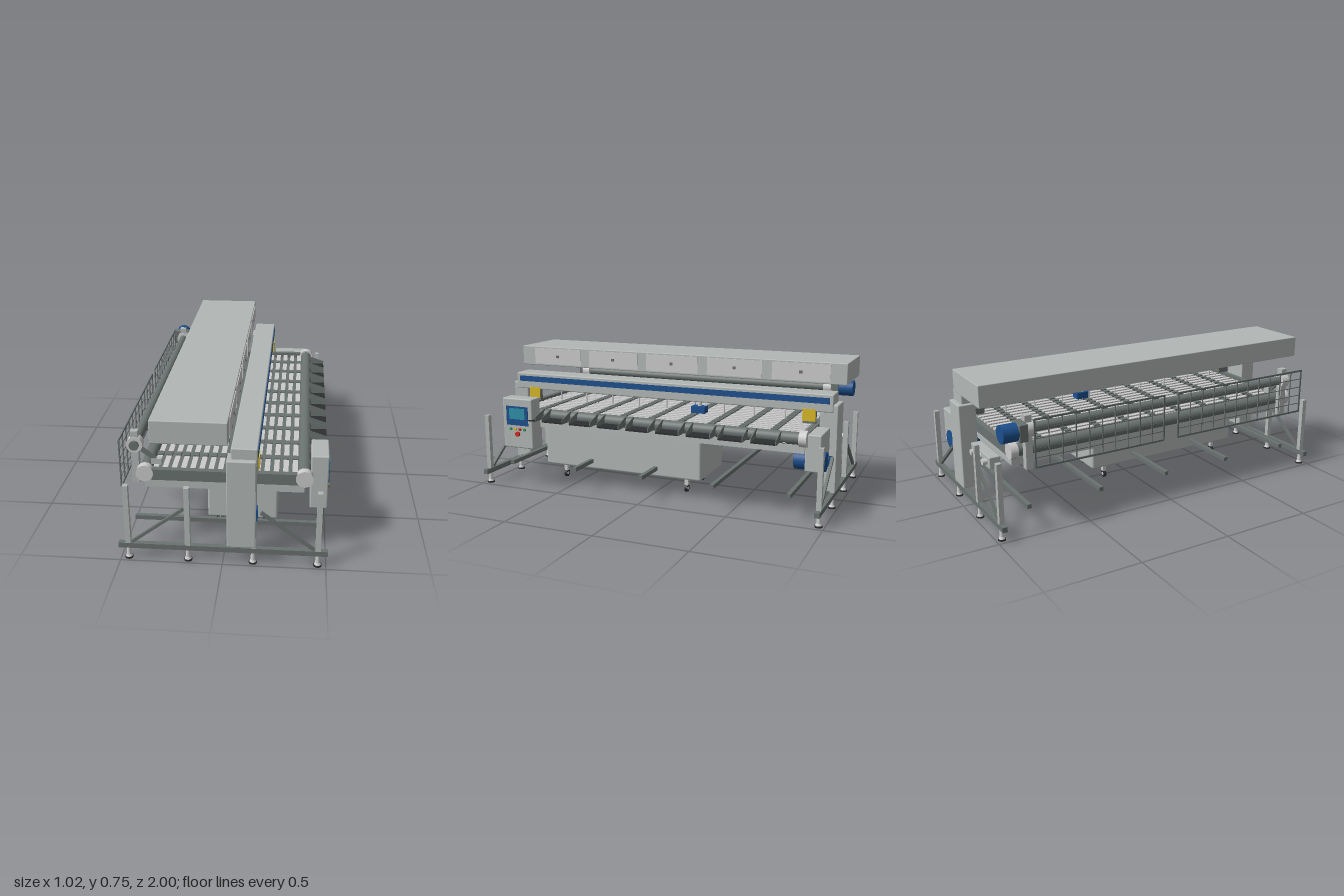
import * as THREE from 'three';
import { RoundedBoxGeometry } from 'three/addons/geometries/RoundedBoxGeometry.js';

const mat = (color) => new THREE.MeshStandardMaterial({ color });
const M = {
  body: mat(0xb2b8b6), panel: mat(0xcccccc), dark: mat(0x6a7270), black: mat(0x2c2e2f),
  blue: mat(0x1c4f8c), cyan: mat(0x2f8fa8), yellow: mat(0xd8b928), red: mat(0xd02a20), green: mat(0x2a9a5a),
};

export function createModel() {
  const root = new THREE.Group();
  root.name = 'sortingConveyor';

  const add = (name, geo, m, x, y, z, parent = root) => {
    const mesh = new THREE.Mesh(geo, m);
    mesh.name = name;
    mesh.position.set(x, y, z);
    parent.add(mesh);
    return mesh;
  };
  // Box given by its limits; r rounds the edges
  const box = (name, m, [x0, x1], [y0, y1], [z0, z1], r = 0) => {
    const s = [x1 - x0, y1 - y0, z1 - z0];
    const geo = r ? new RoundedBoxGeometry(...s, 2, r) : new THREE.BoxGeometry(...s);
    return add(name, geo, m, (x0 + x1) / 2, (y0 + y1) / 2, (z0 + z1) / 2);
  };
  // Cylinder between two points
  const rod = (name, m, a, b, r, sides = 24, r2 = r) => {
    const p = new THREE.Vector3(...a), q = new THREE.Vector3(...b);
    const mid = p.clone().add(q).multiplyScalar(0.5);
    const mesh = add(name, new THREE.CylinderGeometry(r2, r, p.distanceTo(q), sides), m, mid.x, mid.y, mid.z);
    mesh.quaternion.setFromUnitVectors(new THREE.Vector3(0, 1, 0), q.sub(p).normalize());
    return mesh;
  };
  // Square bar between two points in a plane of constant z
  const bar = (name, m, [ax, ay], [bx, by], z, t) => {
    const mesh = add(name, new THREE.BoxGeometry(Math.hypot(bx - ax, by - ay), t, t), m, (ax + bx) / 2, (ay + by) / 2, z);
    mesh.rotation.z = Math.atan2(by - ay, bx - ax);
    return mesh;
  };

  // Overhead hood with front panels
  box('hood', M.body, [-0.33, 0.03], [0.64, 0.755], [-1, 1], 0.004);
  for (let i = -2; i <= 2; i++) {
    const z = i * 0.376;
    box('hoodPanel', M.panel, [0.029, 0.034], [0.65, 0.745], [z - 0.16, z + 0.16]);
    box('hoodKnob', M.dark, [0.034, 0.039], [0.69, 0.705], [z - 0.008, z + 0.008]);
  }

  // Gantry beam and its columns
  box('gantryBeam', M.body, [0.04, 0.165], [0.515, 0.61], [-0.96, 0.96], 0.006);
  box('beamStripe', M.blue, [0.164, 0.168], [0.56, 0.592], [-0.94, 0.94]);
  for (const s of [-1, 1]) {
    const span = (a, b) => (s > 0 ? [a, b] : [-b, -a]);
    box('gantryColumn', M.body, [0.02, 0.16], [0.09, 0.555], span(0.89, 0.985), 0.006);
    box('columnPanel', M.blue, [0.159, 0.167], [0.23, 0.287], span(0.91, 0.965));
    box('warningPlate', M.yellow, [0.163, 0.17], [0.463, 0.527], span(0.8, 0.87));
    box('plateHolder', M.dark, [0.14, 0.163], [0.45, 0.53], span(0.8, 0.87));
  }
  box('sensor', M.blue, [0.1, 0.155], [0.45, 0.487], [-0.25, -0.17]);
  rod('sensorArm', M.panel, [0.12, 0.48, -0.21], [0.12, 0.52, -0.21], 0.012);
  for (let i = 0; i < 9; i++) {
    const z = (i - 4) * 0.173;
    rod('hangerRod', M.panel, [0.1, 0.45, z], [0.1, 0.52, z], 0.004, 8);
  }

  // Conveyor bed, side frames and end rollers
  box('bedPan', M.body, [-0.385, 0.385], [0.343, 0.386], [-0.87, 0.87]);
  box('bedFloor', M.dark, [-0.36, 0.36], [0.386, 0.41], [-0.845, 0.845]);
  for (const s of [-1, 1]) {
    box('sideFrame', M.dark, [-0.41, 0.395], [0.385, 0.441], [s * 0.863 - 0.015, s * 0.863 + 0.015]);
    rod('endRoller', M.dark, [s * 0.385, 0.42, -0.85], [s * 0.385, 0.42, 0.85], 0.032, 32);
    for (const e of [-1, 1])
      rod('rollerBearing', M.panel, [s * 0.385, 0.42, e * 0.845], [s * 0.385, 0.42, e * 0.884], 0.042, 32);
  }

  // Belt slats with rows of links
  for (let i = 0; i < 16; i++) {
    const x = -0.337 + i * 0.045;
    box('beltSlat', M.panel, [x - 0.013, x + 0.013], [0.41, 0.432], [-0.83, 0.83]);
    for (let j = -4; j <= 4; j++) {
      const z = j * 0.172;
      box('beltLink', M.dark, [x - 0.015, x + 0.015], [0.425, 0.438], [z - 0.018, z + 0.018]);
    }
  }

  // Outfeed trays along the left edge
  for (let j = -4; j <= 4; j++) {
    const z = j * 0.172;
    box('trayFloor', M.black, [0.41, 0.5], [0.4, 0.408], [z - 0.064, z + 0.064]);
    const wall = new THREE.Shape([[0.4, 0.4], [0.5, 0.4], [0.5, 0.425], [0.41, 0.455], [0.4, 0.455]].map((p) => new THREE.Vector2(...p)));
    for (const s of [-1, 1])
      add('trayWall', new THREE.ExtrudeGeometry(wall, { depth: 0.004, bevelEnabled: false }), M.dark, 0, 0, z + s * 0.064 - 0.002);
    box('trayBracket', M.panel, [0.385, 0.41], [0.395, 0.41], [z - 0.09, z - 0.075]);
  }

  // Main drive and side equipment
  box('driveCover', M.body, [0.18, 0.382], [0.25, 0.4], [-0.952, -0.87], 0.008);
  box('driveCoverTop', M.body, [0.18, 0.382], [0.385, 0.442], [-0.952, -0.88], 0.006);
  rod('driveMotor', M.blue, [0.282, 0.285, -0.96], [0.282, 0.285, -0.8], 0.05, 32);
  box('valveBox', M.body, [-0.24, 0.02], [0.282, 0.345], [-0.93, -0.87], 0.005);
  for (const x of [-0.2, -0.12, -0.04])
    rod('valveKnob', M.panel, [x, 0.314, -0.93], [x, 0.314, -0.955], 0.016);

  // Control cabinet
  box('controlCabinet', M.body, [0.413, 0.5], [0.238, 0.523], [0.644, 0.836], 0.008);
  box('screenFrame', M.blue, [0.498, 0.504], [0.37, 0.478], [0.67, 0.81]);
  box('screen', M.cyan, [0.503, 0.506], [0.405, 0.467], [0.69, 0.79]);
  [M.green, M.yellow, M.red, M.green].forEach((m, i) =>
    rod('button', m, [0.499, 0.347, 0.785 - i * 0.03], [0.507, 0.347, 0.785 - i * 0.03], 0.008, 16));
  rod('stopButton', M.red, [0.499, 0.32, 0.74], [0.51, 0.32, 0.74], 0.014);
  box('cabinetArm', M.dark, [0.38, 0.414], [0.36, 0.39], [0.7, 0.78]);

  // Wheeled tank
  box('tank', M.body, [-0.102, 0.256], [0.09, 0.332], [-0.268, 0.71], 0.012);
  box('tankLid', M.dark, [-0.07, 0.225], [0.33, 0.345], [-0.235, 0.675]);
  for (const x of [-0.048, 0.198]) for (const z of [-0.165, 0.61]) {
    rod('casterWheel', M.black, [x, 0.027, z - 0.007], [x, 0.027, z + 0.007], 0.021);
    rod('casterHub', M.panel, [x, 0.027, z - 0.009], [x, 0.027, z + 0.009], 0.009);
    box('casterFork', M.panel, [x - 0.011, x + 0.011], [0.045, 0.092], [z - 0.01, z + 0.01]);
  }

  // Cross bars below the bed
  for (let j = -2; j <= 2; j++) {
    const z = j * 0.407;
    box('crossBar', M.dark, [-0.455, 0.46], [0.127, 0.149], [z - 0.011, z + 0.011]);
  }

  // End frames: base rail, legs, braces and feet
  for (const s of [-1, 1]) {
    const z = s * 0.97;
    box('baseRail', M.dark, [-0.51, 0.508], [0.06, 0.087], [z - 0.013, z + 0.013]);
    for (const x of [-0.462, -0.17, 0.147, 0.46]) {
      box('leg', M.body, [x - 0.013, x + 0.013], [0.087, 0.402], [z - 0.013, z + 0.013]);
      rod('footStem', M.panel, [x, 0.02, z], [x, 0.06, z], 0.012, 16, 0.009);
      rod('footCone', M.panel, [x, 0.008, z], [x, 0.026, z], 0.018, 20, 0.009);
      rod('footPad', M.black, [x, 0, z], [x, 0.009, z], 0.02, 20);
    }
    bar('brace', M.dark, [-0.445, 0.09], [-0.19, 0.283], z, 0.015);
    bar('brace', M.dark, [0.44, 0.09], [0.183, 0.283], z, 0.015);
  }

  // Rear raised roller with its posts, links and motor
  rod('rearRoller', M.dark, [-0.44, 0.543, -0.82], [-0.44, 0.543, 0.84], 0.024, 32);
  for (const s of [-1, 1]) {
    const z = s * 0.805;
    box('rearPost', M.body, [-0.459, -0.422], [0.335, 0.613], [z - 0.018, z + 0.018]);
    rod('rearBearing', M.panel, [-0.44, 0.543, z - 0.023], [-0.44, 0.543, z + 0.023], 0.04, 32);
    bar('rearLink', M.dark, [-0.43, 0.53], [-0.335, 0.455], z, 0.018);
    box('linkFoot', M.body, [-0.362, -0.31], [0.44, 0.468], [z - 0.015, z + 0.015]);
  }
  box('gearbox', M.dark, [-0.505, -0.41], [0.497, 0.587], [-0.872, -0.825], 0.006);
  rod('rearMotor', M.blue, [-0.458, 0.542, -0.952], [-0.458, 0.542, -0.87], 0.046, 32);

  // Rear wire guards
  for (const [z0, z1] of [[-0.79, -0.05], [0.04, 0.9]]) {
    for (let i = 0; i <= 5; i++) {
      const y = 0.355 + i * 0.049;
      const t = i % 5 ? 0.002 : 0.005;
      box('guardWire', M.dark, [-0.496 - t / 2, -0.496 + t / 2], [y - t, y + t], [z0, z1]);
    }
    const n = Math.round((z1 - z0) / 0.075);
    for (let i = 0; i <= n; i++) {
      const z = z0 + ((z1 - z0) * i) / n, t = i % n ? 0.002 : 0.004;
      box('guardUpright', M.dark, [-0.499, -0.493], [0.352, 0.603], [z - t, z + t]);
    }
  }
  return root;
}
